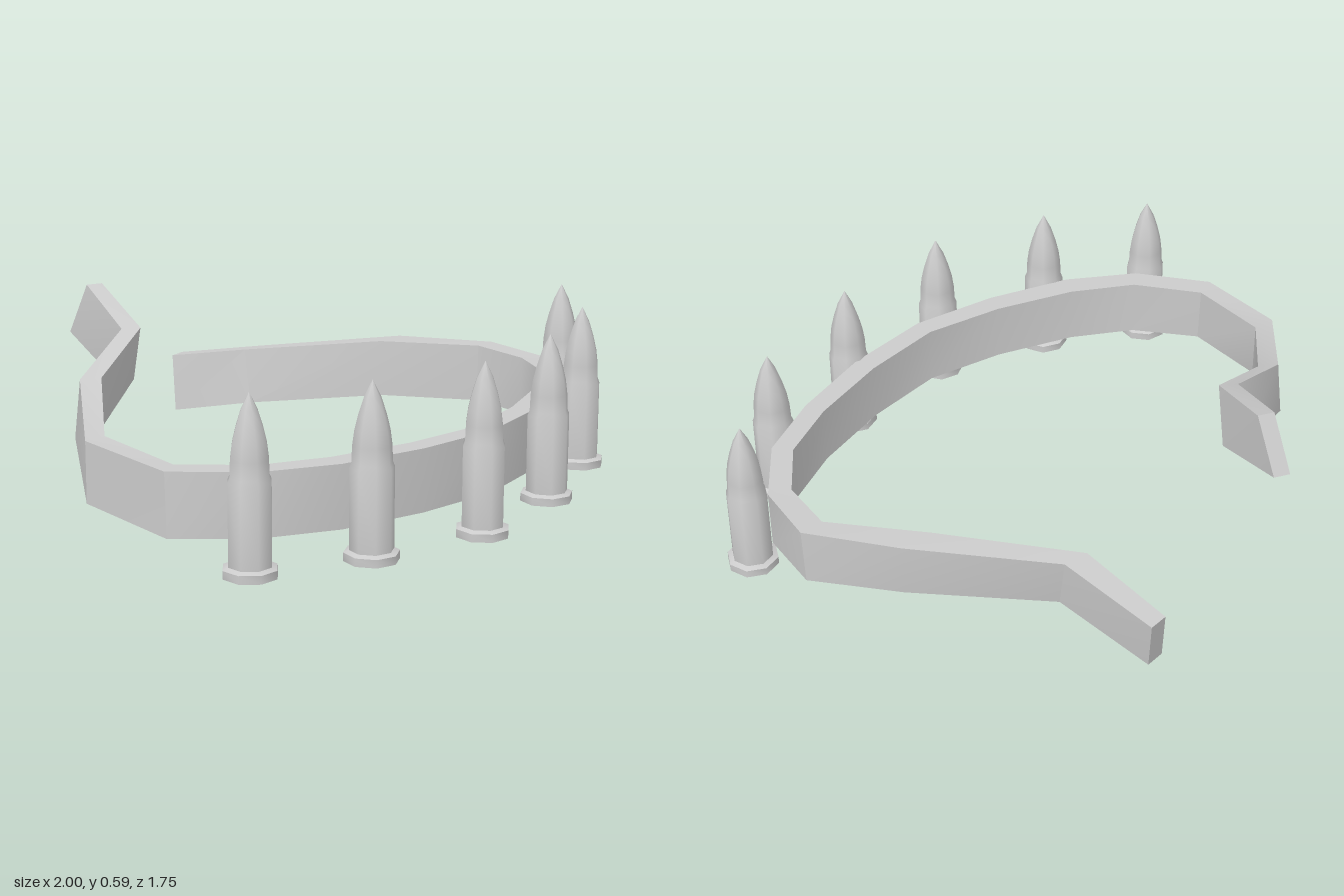
import * as THREE from 'three';
import { toCreasedNormals } from 'three/addons/utils/BufferGeometryUtils.js';

const material = new THREE.MeshStandardMaterial({ color: 0xcccccc, side: THREE.DoubleSide });

// Band stations from the right tip, round the front, to the left tip:
// outer x, z, inner x, z (top edge), bottom y, top y, then the bottom edge's shift in x, z
const LOW = 0.085, HIGH = 0.28;
const stations = [
  [-0.32, -0.70, -0.27, -0.68, 0.415, 0.588, 0.014, -0.097],
  [-0.43, -0.44, -0.38, -0.405, 0.31, 0.495, 0.034, -0.066],
  [-0.705, -0.355, -0.647, -0.32, 0.21, 0.395, -0.01, -0.017],
  [-0.968, -0.075, -0.893, -0.07, 0.115, 0.305],
  [-0.995, 0.26, -0.925, 0.23, LOW, HIGH, -0.004, 0.01],
  [-0.834, 0.47, -0.78, 0.42, LOW, HIGH],
  [-0.62, 0.60, -0.583, 0.53, LOW, HIGH],
  [-0.342, 0.685, -0.32, 0.615, LOW, HIGH],
  [-0.053, 0.727, -0.053, 0.658, LOW, HIGH],
  [0.24, 0.685, 0.22, 0.615, LOW, HIGH],
  [0.513, 0.594, 0.487, 0.53, LOW, HIGH],
  [0.727, 0.48, 0.68, 0.428, LOW, HIGH],
  [0.87, 0.294, 0.80, 0.267, LOW, HIGH],
  [0.905, 0.07, 0.825, 0.07, 0.095, 0.29, -0.006, 0],
  [0.727, -0.20, 0.615, -0.20, 0.115, 0.305, -0.01, 0.012],
  [0.385, -0.55, 0.30, -0.555, 0.098, 0.28, -0.012, 0.036],
  [0.33, -0.875, 0.267, -0.866, 0.03, 0.22, -0.026, 0.035],
];

// Rectangular strap swept through the stations, closed at both tips
function bandGeometry() {
  const rings = stations.map(([ox, oz, ix, iz, low, high, dx = 0, dz = 0]) => [
    [ox, high, oz], [ix, high, iz], [ix + dx, low, iz + dz], [ox + dx, low, oz + dz],
  ]);
  const positions = [];
  const quad = (a, b, c, d) => [a, b, c, a, c, d].forEach((p) => positions.push(...p));
  for (let i = 0; i < rings.length - 1; i++) {
    for (let j = 0; j < 4; j++) {
      const k = (j + 1) % 4;
      quad(rings[i][j], rings[i + 1][j], rings[i + 1][k], rings[i][k]);
    }
  }
  quad(...rings[0]);
  quad(...rings[rings.length - 1].slice().reverse());
  const geometry = new THREE.BufferGeometry();
  geometry.setAttribute('position', new THREE.Float32BufferAttribute(positions, 3));
  return toCreasedNormals(geometry, 0.6);
}

// Eight-sided cartridge: rim, case, and pointed tip
function cartridgeGeometry() {
  const profile = [
    [0, 0], [0.083, 0], [0.083, 0.025], [0.066, 0.032], [0.066, 0.275], [0.06, 0.29],
    [0.058, 0.34], [0.052, 0.385], [0.041, 0.43], [0.025, 0.48], [0, 0.53],
  ].map(([r, y]) => new THREE.Vector2(r, y));
  return toCreasedNormals(new THREE.LatheGeometry(profile, 8), 0.85);
}

export function createModel() {
  const model = new THREE.Group();
  model.name = 'cartridgeBelt';

  const band = new THREE.Mesh(bandGeometry(), material);
  band.name = 'band';
  model.add(band);

  // Cartridges along the outside of the band: x, z, turn
  const geometry = cartridgeGeometry();
  const places = [
    [-0.904, 0.497, 0.3], [-0.578, 0.674, 0.05], [-0.19, 0.79, 0.2],
    [0.23, 0.743, 0.03], [0.636, 0.604, 0.1], [0.914, 0.348, -0.07],
  ];
  places.forEach(([x, z, turn], i) => {
    const cartridge = new THREE.Mesh(geometry, material);
    cartridge.name = `cartridge${i + 1}`;
    cartridge.position.set(x, 0, z);
    cartridge.rotation.y = turn;
    model.add(cartridge);
  });
  return model;
}
